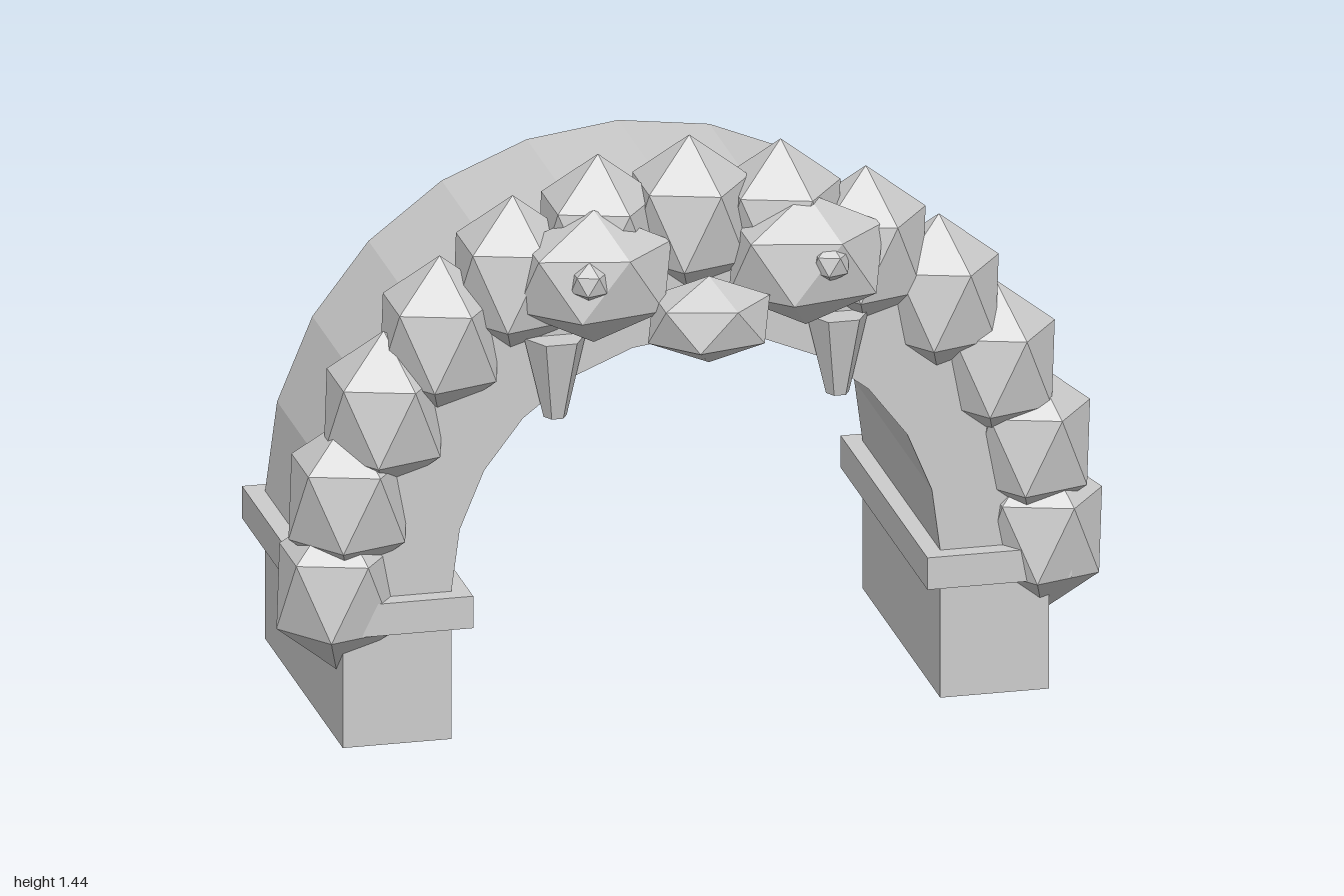
import * as THREE from 'three';
import { ConvexGeometry } from 'three/addons/geometries/ConvexGeometry.js';

const stone = new THREE.MeshStandardMaterial({ color: 0xcccccc, flatShading: true });
stone.name = 'stone grey';

const SPRING_Y = 0.37, OUTER = 0.855, INNER = 0.592, STEPS = 12;
const FRONT = 0.29, BACK = -0.48, MID_Z = (FRONT + BACK) / 2;

// Twenty-sided boulder with its poles on the y axis
function boulderGeometry() {
  const points = [new THREE.Vector3(0, 1, 0), new THREE.Vector3(0, -1, 0)];
  const h = 1 / Math.sqrt(5), r = 2 * h;
  for (let i = 0; i < 5; i++) {
    const a = (i * Math.PI * 2) / 5;
    points.push(new THREE.Vector3(r * Math.cos(a), h, r * Math.sin(a)));
    points.push(new THREE.Vector3(-r * Math.cos(a), -h, r * Math.sin(a)));
  }
  return new ConvexGeometry(points);
}

// Half-ring vault made of straight facets
function vaultGeometry() {
  const points = [];
  for (let i = 0; i <= STEPS; i++) {
    const a = (Math.PI * i) / STEPS;
    points.push(new THREE.Vector2(OUTER * Math.cos(a), OUTER * Math.sin(a)));
  }
  for (let i = STEPS; i >= 0; i--) {
    const a = (Math.PI * i) / STEPS;
    points.push(new THREE.Vector2(INNER * Math.cos(a), INNER * Math.sin(a)));
  }
  return new THREE.ExtrudeGeometry(new THREE.Shape(points), { depth: FRONT - BACK, bevelEnabled: false });
}

export function createModel() {
  const model = new THREE.Group();
  model.name = 'stoneArch';

  function add(name, geometry, x, y, z, sx = 1, sy = 1, sz = 1) {
    const mesh = new THREE.Mesh(geometry, stone);
    mesh.name = name;
    mesh.position.set(x, y, z);
    mesh.scale.set(sx, sy, sz);
    model.add(mesh);
    return mesh;
  }

  add('vault', vaultGeometry(), 0, SPRING_Y, BACK);

  const boulder = boulderGeometry();
  const pier = new THREE.BoxGeometry(0.263, 0.29, FRONT - BACK);
  const cap = new THREE.BoxGeometry(0.35, 0.08, 0.86);
  const fang = new THREE.CylinderGeometry(0.075, 0.028, 0.2, 6);
  fang.rotateY(Math.PI / 6);

  for (const [side, s] of [['left', 1], ['right', -1]]) {
    // Supports
    add(side + 'Pier', pier, s * 0.7235, 0.145, MID_Z);
    add(side + 'PierCap', cap, s * 0.725, 0.33, MID_Z);
    // Face details
    add(side + 'Brow', boulder, s * 0.257, 1.145, 0.33, 0.21, 0.165, 0.145);
    add(side + 'Eye', boulder, s * 0.292, 1.168, 0.43, 0.05, 0.05, 0.05);
    add(side + 'Fang', fang, s * 0.342, 0.89, 0.295);
  }
  add('snout', boulder, 0, 1.047, 0.42, 0.165, 0.108, 0.122);

  // Boulders along the front edge of the vault
  for (let i = 0; i <= STEPS; i++) {
    const a = (Math.PI * i) / STEPS;
    add('rimBoulder' + (i + 1), boulder,
      0.855 * Math.cos(a), 0.38 + 0.855 * Math.sin(a), 0.225, 0.162, 0.205, 0.159);
  }
  return model;
}
